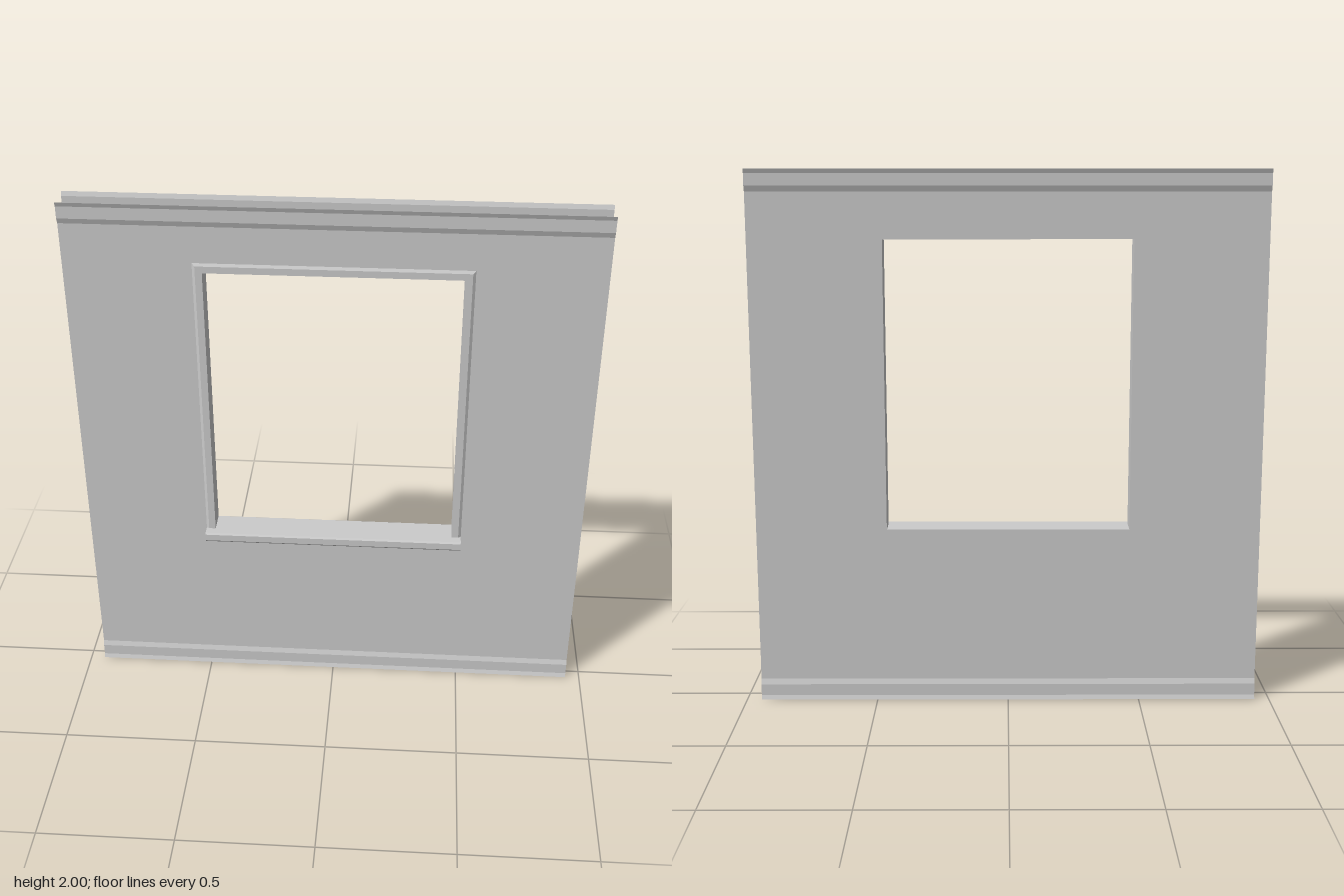
import * as THREE from 'three';

const HALF_W = 0.945;                                // wall half width
const OPEN = { x: 0.455, bottom: 0.67, top: 1.75 };  // window opening
const FRONT_Z = 0.025, BACK_Z = -0.054;

const material = new THREE.MeshStandardMaterial({ color: 0xcccccc, side: THREE.DoubleSide });

function addMesh(parent, name, geometry) {
  const mesh = new THREE.Mesh(geometry, material);
  mesh.name = name;
  parent.add(mesh);
  return mesh;
}

// Faceted surface joining neighbouring rows of [x, y, z] points
function loft(rows) {
  const pos = [];
  for (let i = 0; i < rows.length - 1; i++) {
    for (let j = 0; j < rows[i].length - 1; j++) {
      const a = rows[i][j], b = rows[i][j + 1], c = rows[i + 1][j + 1], d = rows[i + 1][j];
      pos.push(...a, ...b, ...c, ...a, ...c, ...d);
    }
  }
  const geometry = new THREE.BufferGeometry();
  geometry.setAttribute('position', new THREE.Float32BufferAttribute(pos, 3));
  geometry.computeVertexNormals();
  return geometry;
}

// Profile of [y, z] points run across the full wall width
const moulding = (profile) => loft(profile.map(([y, z]) => [[-HALF_W, y, z], [HALF_W, y, z]]));

// Thin wall sheet with an opening; dir is the side it faces
function wallSheet(name, z, dir) {
  const group = new THREE.Group();
  group.name = name;
  const shape = new THREE.Shape([
    new THREE.Vector2(-HALF_W, 0.08), new THREE.Vector2(HALF_W, 0.08),
    new THREE.Vector2(HALF_W, 1.92), new THREE.Vector2(-HALF_W, 1.92),
  ]);
  shape.holes.push(new THREE.Path([
    new THREE.Vector2(-OPEN.x, OPEN.bottom), new THREE.Vector2(-OPEN.x, OPEN.top),
    new THREE.Vector2(OPEN.x, OPEN.top), new THREE.Vector2(OPEN.x, OPEN.bottom),
  ]));
  const panel = addMesh(group, 'panel', new THREE.ShapeGeometry(shape));
  panel.position.z = z;
  if (dir < 0) panel.rotation.y = Math.PI;

  // Stepped, flared trims: heights measured from the floor, mirrored at the top
  const steps = [[0, 0.013], [0.016, 0.007], [0.06, 0.007], [0.08, 0]];
  const base = steps.map(([y, d]) => [y, z + dir * d]);
  const crown = steps.map(([y, d]) => [2 - y, z + dir * d]).reverse();
  if (dir < 0) { base.reverse(); crown.reverse(); }
  addMesh(group, 'baseboard', moulding(base.reverse()));
  addMesh(group, 'crownTrim', moulding(crown.reverse()));
  return group;
}

// Path up, over and down around the opening, pushed outward by d
const aroundOpening = (d, z) => [
  [-OPEN.x - d, OPEN.bottom, z], [-OPEN.x - d, OPEN.top + d, z],
  [OPEN.x + d, OPEN.top + d, z], [OPEN.x + d, OPEN.bottom, z],
];

export function createModel() {
  const model = new THREE.Group();
  model.name = 'windowWall';

  model.add(wallSheet('frontWall', FRONT_Z, 1));
  model.add(wallSheet('backWall', BACK_Z, -1));

  // Lining of the opening between the two sheets
  const ring = (z) => [...aroundOpening(0, z), [-OPEN.x, OPEN.bottom, z]];
  addMesh(model, 'windowReveal', loft([ring(BACK_Z), ring(FRONT_Z)]));

  // Shallow casing with a bevelled outer edge
  addMesh(model, 'windowCasing', loft([
    aroundOpening(0, FRONT_Z), aroundOpening(0, FRONT_Z + 0.006),
    aroundOpening(0.025, FRONT_Z + 0.006), aroundOpening(0.035, FRONT_Z),
  ]));

  // Sill with a chamfered nose, extruded along x
  const nose = [[FRONT_Z, 0.63], [0.06, 0.63], [0.067, 0.638], [0.067, 0.664], [0.062, 0.67], [FRONT_Z, 0.67]];
  const sill = new THREE.ExtrudeGeometry(
    new THREE.Shape(nose.map(([z, y]) => new THREE.Vector2(-z, y))),
    { depth: 0.98, bevelEnabled: false },
  );
  sill.rotateY(Math.PI / 2).translate(-0.49, 0, 0);
  addMesh(model, 'windowSill', sill);

  return model;
}
